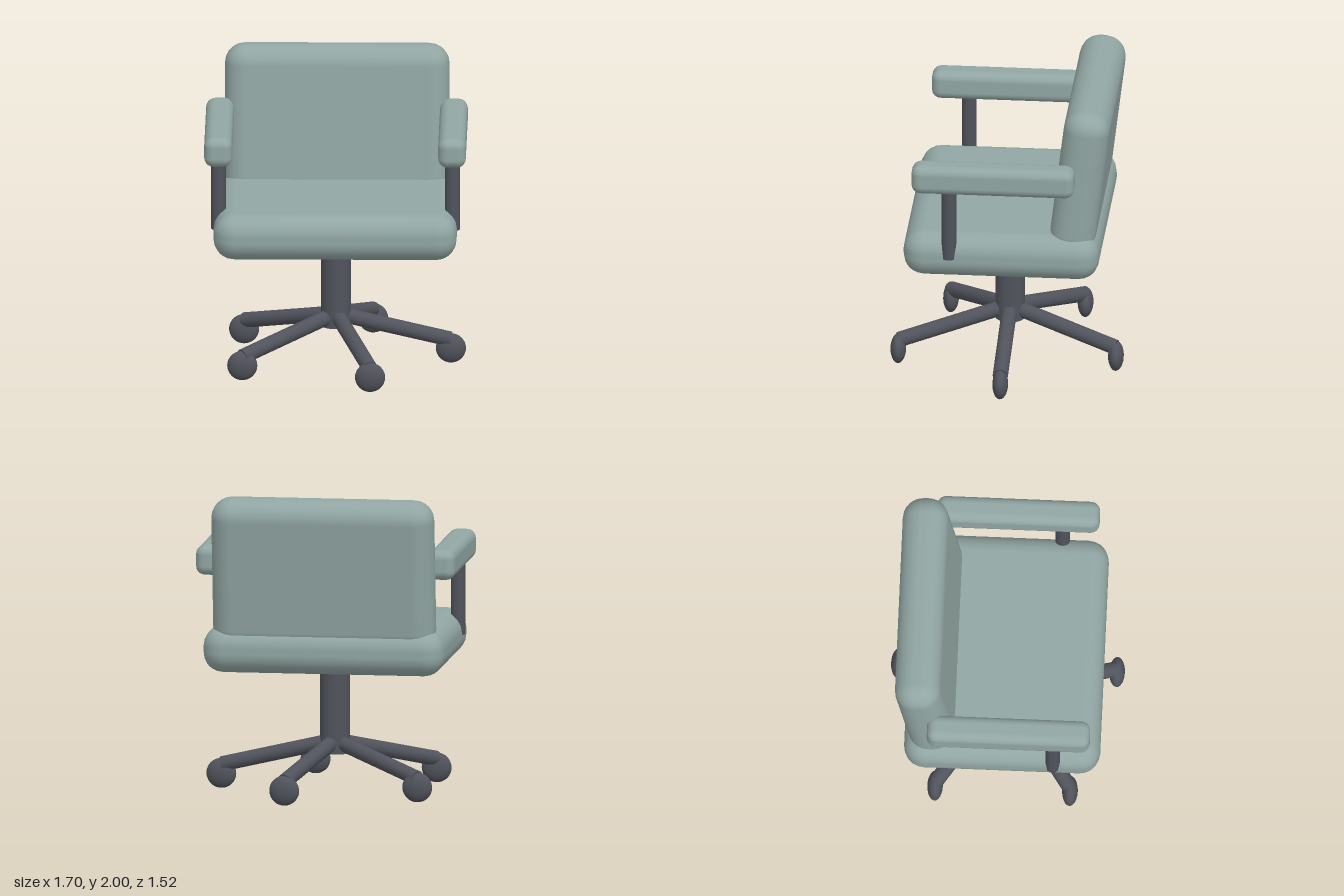
import * as THREE from 'three';
import { RoundedBoxGeometry } from 'three/addons/geometries/RoundedBoxGeometry.js';

const fabric = new THREE.MeshStandardMaterial({ color: 0x91a6a3 });
fabric.name = 'sage upholstery';
const metal = new THREE.MeshStandardMaterial({ color: 0x50535c });
metal.name = 'dark grey metal';

function add(parent, name, geometry, material, x, y, z) {
  const mesh = new THREE.Mesh(geometry, material);
  mesh.name = name;
  mesh.position.set(x, y, z);
  parent.add(mesh);
  return mesh;
}

const cushion = (w, h, d, r) => new RoundedBoxGeometry(w, h, d, 3, r);

export function createModel() {
  const chair = new THREE.Group();
  chair.name = 'officeChair';

  // Upholstery: seat and reclined backrest
  add(chair, 'seat', cushion(1.58, 0.305, 1.275, 0.135), fabric, 0, 0.9925, 0);
  const back = add(chair, 'backrest', cushion(1.46, 1.0, 0.3, 0.135), fabric, 0, 1.5, -0.507);
  back.rotation.x = -0.121;

  // Armrests: a pad on a single post each side
  for (const [side, s] of [['left', 1], ['right', -1]]) {
    const arm = new THREE.Group();
    arm.name = side + 'Armrest';
    add(arm, side + 'ArmPad', cushion(0.18, 0.195, 1.06, 0.06), fabric, s * 0.76, 1.5625, 0.045);
    add(arm, side + 'ArmPost', new THREE.CylinderGeometry(0.048, 0.048, 0.52, 16), metal, s * 0.76, 1.255, 0.333);
    chair.add(arm);
  }

  // Base: column, five sloping legs and flattened casters
  const base = new THREE.Group();
  base.name = 'base';
  add(base, 'column', new THREE.CylinderGeometry(0.097, 0.097, 0.65, 24), metal, 0, 0.575, 0);

  const up = new THREE.Vector3(0, 1, 0);
  for (let i = 0; i < 5; i++) {
    const a = (i / 5) * Math.PI * 2;
    const c = Math.cos(a), s = Math.sin(a);
    const start = new THREE.Vector3(0, 0.332, 0);
    const end = new THREE.Vector3(c * 0.744, 0.159, s * 0.744);
    const span = end.clone().sub(start);
    const mid = start.clone().add(end).multiplyScalar(0.5);
    const leg = add(base, 'leg' + (i + 1), new THREE.CylinderGeometry(0.05, 0.05, span.length(), 16), metal, mid.x, mid.y, mid.z);
    leg.quaternion.setFromUnitVectors(up, span.normalize());
    const caster = add(base, 'caster' + (i + 1), new THREE.SphereGeometry(0.098, 24, 16), metal, c * 0.746, 0.1, s * 0.746);
    caster.scale.z = 0.52;
  }
  chair.add(base);

  return chair;
}
